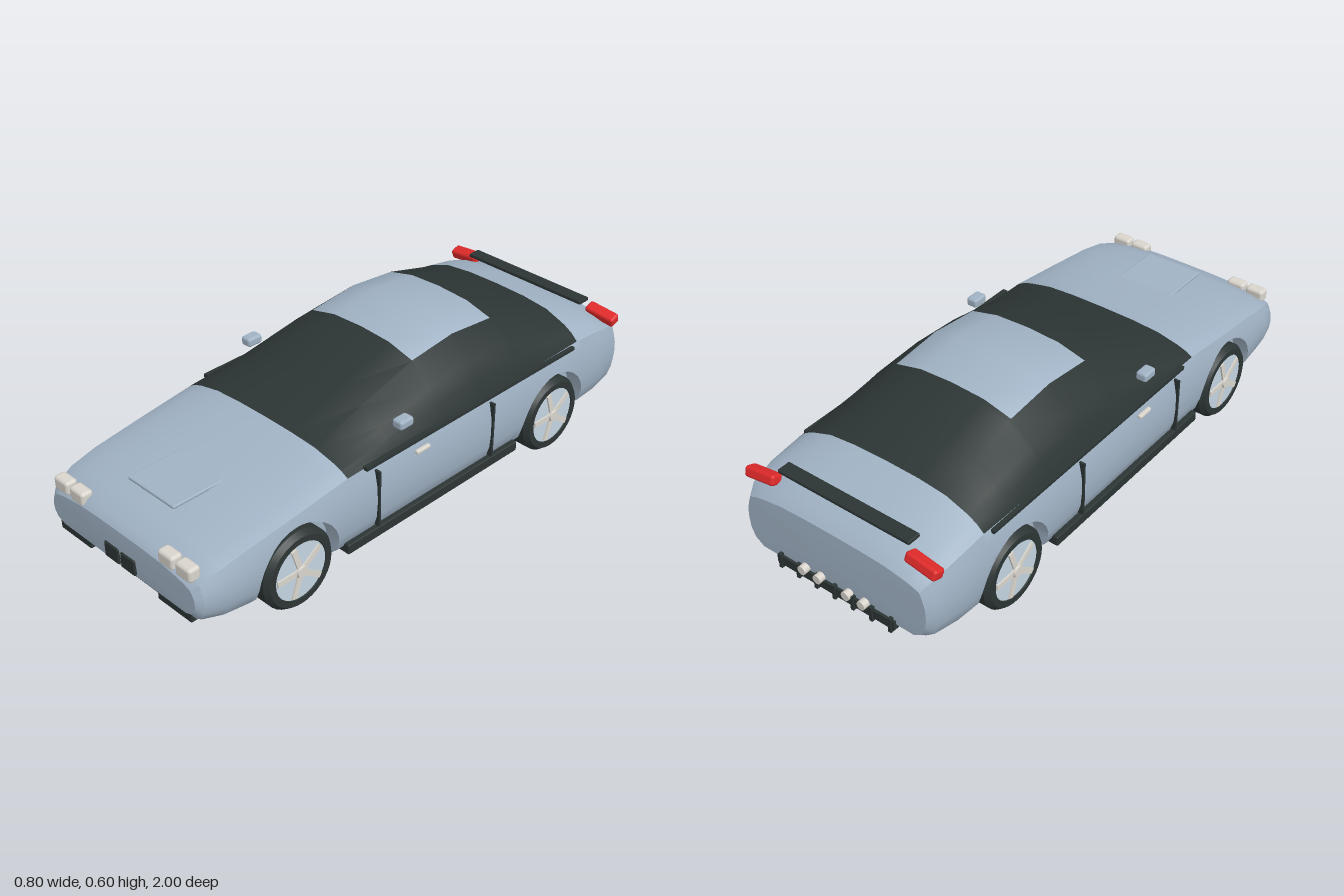
import * as THREE from 'three';
import { toCreasedNormals } from 'three/addons/utils/BufferGeometryUtils.js';
import { RoundedBoxGeometry } from 'three/addons/geometries/RoundedBoxGeometry.js';

const mat = (name, color, side = THREE.FrontSide) => {
  const m = new THREE.MeshStandardMaterial({ color, side });
  m.name = name;
  return m;
};

const WHEEL_Z = [0.615, -0.59], WHEEL_Y = 0.14, ARCH_R = 0.165;

// Body stations: z, half width, floor y, belt y, top y
const STATIONS = [
  [0.99, 0.345, 0.15, 0.25, 0.28], [0.97, 0.365, 0.125, 0.27, 0.302], [0.9, 0.382, 0.105, 0.295, 0.325],
  [0.8, 0.388, 0.09, 0.315, 0.345], [0.6, 0.392, 0.085, 0.34, 0.378], [0.4, 0.393, 0.085, 0.365, 0.417],
  [0.2, 0.393, 0.085, 0.368, 0.492], [-0.03, 0.393, 0.085, 0.37, 0.57], [-0.22, 0.393, 0.085, 0.37, 0.595],
  [-0.41, 0.393, 0.085, 0.372, 0.573], [-0.6, 0.393, 0.085, 0.375, 0.512], [-0.72, 0.393, 0.085, 0.378, 0.465],
  [-0.85, 0.39, 0.095, 0.365, 0.42], [-0.94, 0.378, 0.11, 0.345, 0.388], [-0.975, 0.36, 0.13, 0.32, 0.355],
];
// Side width by height, and dome shape above the belt
const SIDE = [[0, 0.86], [0.12, 0.95], [0.3, 0.99], [0.5, 1], [0.7, 0.995], [0.88, 0.97], [1, 0.945]];
const DOME = [[0.93, 0.28], [0.84, 0.5], [0.62, 0.84], [0.34, 0.97], [0, 1]];

function interpolate(table, v) {
  const sign = Math.sign(table[1][0] - table[0][0]);
  let i = 0;
  while (i < table.length - 2 && sign * (v - table[i + 1][0]) > 0) i++;
  const [p, q] = [table[i], table[i + 1]];
  const f = (v - p[0]) / (q[0] - p[0]);
  return p.map((n, k) => n + (q[k] - n) * f);
}

// Closed ring at one z, with the side cut away at the wheel arches
function crossSection(z) {
  const [, w, floor, belt, top] = interpolate(STATIONS, z);
  let cut = floor;
  for (const c of WHEEL_Z) {
    const d = Math.abs(z - c);
    if (d < ARCH_R - 1e-5) cut = WHEEL_Y + Math.sqrt(ARCH_R * ARCH_R - d * d);
  }
  const tCut = (cut - floor) / (belt - floor);
  const half = [[0, floor], [0.84 * w, floor], [0.84 * w, cut]];
  for (const [t] of SIDE) {
    const tt = Math.max(t, tCut);
    half.push([w * interpolate(SIDE, tt)[1], floor + tt * (belt - floor)]);
  }
  for (const [x, h] of DOME) half.push([0.945 * w * x, belt + h * (top - belt)]);
  const mirrored = half.slice(1, -1).reverse().map(([x, y]) => [-x, y]);
  return [...half, ...mirrored].map(([x, y]) => [x, y, z]);
}

function bodyGeometry() {
  const zs = STATIONS.map((s) => s[0]);
  for (const c of WHEEL_Z) {
    for (const d of [1, 0.995, 0.96, 0.88, 0.76, 0.6, 0.42, 0.2]) zs.push(c + d * ARCH_R, c - d * ARCH_R);
    zs.push(c);
  }
  const sorted = [...new Set(zs)].sort((a, b) => b - a);
  const rings = sorted.map(crossSection);
  const n = rings[0].length, pos = rings.flat(2), paint = [], glass = [];
  const domeStart = 3 + SIDE.length - 1, domeEnd = n - domeStart;
  for (let i = 0; i < rings.length - 1; i++) {
    const zm = (sorted[i] + sorted[i + 1]) / 2;
    for (let j = 0; j < n; j++) {
      const k = (j + 1) % n;
      const a = i * n + j, b = i * n + k, c = a + n, d = b + n;
      const inDome = j >= domeStart && j < domeEnd && zm < 0.4 && zm > -0.72;
      const inRoof = j >= domeStart + 3 && j < domeEnd - 3 && zm < -0.03 && zm > -0.41;
      (inDome && !inRoof ? glass : paint).push(a, c, b, b, c, d);
    }
  }
  // Nose and tail caps
  const last = (rings.length - 1) * n, centre = rings.length * n;
  pos.push(0, 0.22, 0.994, 0, 0.24, -0.98);
  for (let j = 0; j < n; j++) {
    const k = (j + 1) % n;
    paint.push(centre, j, k, centre + 1, last + k, last + j);
  }
  const g = new THREE.BufferGeometry();
  g.setAttribute('position', new THREE.Float32BufferAttribute(pos, 3));
  g.setIndex([...paint, ...glass]);
  g.addGroup(0, paint.length, 0);
  g.addGroup(paint.length, glass.length, 1);
  return toCreasedNormals(g, 0.55);
}

export function createModel() {
  const car = new THREE.Group();
  car.name = 'car';
  const paint = mat('bodyPaint', 0xa0b2c4);
  const dark = mat('darkTrim', 0x2c3534);
  const cream = mat('lampCream', 0xd9d5cd);
  const red = mat('tailRed', 0xe02a2a);
  const silver = mat('rimSilver', 0xc4d4e2);

  const add = (name, geometry, material, parent = car) => {
    const m = new THREE.Mesh(geometry, material);
    m.name = name;
    parent.add(m);
    return m;
  };
  // Box given by its low and high limits on each axis
  const box = (name, material, [x0, x1], [y0, y1], [z0, z1], round = 0) => {
    const s = [x1 - x0, y1 - y0, z1 - z0];
    const g = round ? new RoundedBoxGeometry(...s, 2, round) : new THREE.BoxGeometry(...s);
    const m = add(name, g, material);
    m.position.set((x0 + x1) / 2, (y0 + y1) / 2, (z0 + z1) / 2);
    return m;
  };
  const pair = (name, material, [x0, x1], y, z, round) => [
    box(name + 'Left', material, [x0, x1], y, z, round),
    box(name + 'Right', material, [-x1, -x0], y, z, round),
  ];

  add('body', bodyGeometry(), [paint, dark]);

  // Front details
  pair('outerHeadlight', cream, [0.26, 0.33], [0.27, 0.32], [0.945, 0.99], 0.012);
  pair('innerHeadlight', cream, [0.18, 0.25], [0.27, 0.32], [0.945, 0.99], 0.012);
  pair('grille', dark, [0.006, 0.073], [0.157, 0.213], [0.97, 1.0], 0.004);
  pair('bumperVent', dark, [0.165, 0.32], [0.121, 0.161], [0.95, 0.988], 0.004);
  box('frontSplitter', dark, [-0.16, 0.16], [0.083, 0.096], [0.88, 0.945]);
  box('hoodPanel', paint, [-0.11, 0.11], [0.354, 0.366], [0.62, 0.865], 0.005);

  // Side details
  pair('mirror', paint, [0.333, 0.376], [0.426, 0.459], [0.11, 0.17], 0.01);
  pair('windowTrim', dark, [0.368, 0.386], [0.362, 0.374], [-0.69, 0.33]);
  pair('doorHandle', cream, [0.384, 0.4], [0.324, 0.338], [0.055, 0.117], 0.005);
  pair('sideSkirt', dark, [0.35, 0.396], [0.093, 0.13], [-0.39, 0.42], 0.005);
  for (const z of [0.285, -0.255]) pair('doorSeam', dark, [0.375, 0.399], [0.135, 0.345], [z - 0.004, z + 0.004]);

  // Rear details
  pair('tailLight', red, [0.262, 0.382], [0.366, 0.403], [-0.95, -0.905], 0.01)
    .forEach((m, i) => { m.rotation.set(0.35, 0, i ? 0.12 : -0.12); });
  box('spoiler', dark, [-0.262, 0.262], [0.418, 0.432], [-0.922, -0.872], 0.004);
  box('rearDiffuser', dark, [-0.24, 0.24], [0.112, 0.145], [-0.985, -0.945]);
  for (let i = 0; i < 7; i++) {
    const x = -0.225 + i * 0.075;
    box('diffuserFin', dark, [x - 0.006, x + 0.006], [0.1, 0.155], [-0.99, -0.945]);
  }
  for (const x of [-0.122, -0.058, 0.058, 0.122]) {
    const pipe = add('exhaustPipe', new THREE.CylinderGeometry(0.016, 0.016, 0.05, 14), cream);
    pipe.rotation.x = Math.PI / 2;
    pipe.position.set(x, 0.153, -0.975);
  }

  // Wheels, built facing +x and turned round for the other side
  const profile = [[0, 0.19], [0.14, 0.19], [0.14, 0.372], [0.126, 0.39], [0.104, 0.39], [0.1, 0.375]];
  const tyre = toCreasedNormals(new THREE.LatheGeometry(profile.map((p) => new THREE.Vector2(...p)), 36), 0.5);
  tyre.rotateZ(-Math.PI / 2);
  const rim = new THREE.CylinderGeometry(0.103, 0.103, 0.02, 36).rotateZ(-Math.PI / 2);
  const hub = new THREE.CylinderGeometry(0.02, 0.024, 0.02, 16).rotateZ(-Math.PI / 2);
  const spoke = new THREE.BoxGeometry(0.012, 0.08, 0.02).translate(0, 0.057, 0);
  for (const z of WHEEL_Z) for (const side of [1, -1]) {
    const wheel = new THREE.Group();
    wheel.name = (z > 0 ? 'front' : 'rear') + (side > 0 ? 'LeftWheel' : 'RightWheel');
    wheel.position.set(0, WHEEL_Y, z);
    if (side < 0) wheel.rotation.y = Math.PI;
    add('tyre', tyre, dark, wheel);
    add('rim', rim, silver, wheel).position.x = 0.376;
    add('hub', hub, cream, wheel).position.x = 0.389;
    for (let i = 0; i < 5; i++) {
      const s = add('spoke', spoke, cream, wheel);
      s.position.x = 0.386;
      s.rotation.x = (i * Math.PI * 2) / 5 + 0.3;
    }
    car.add(wheel);
  }
  return car;
}
